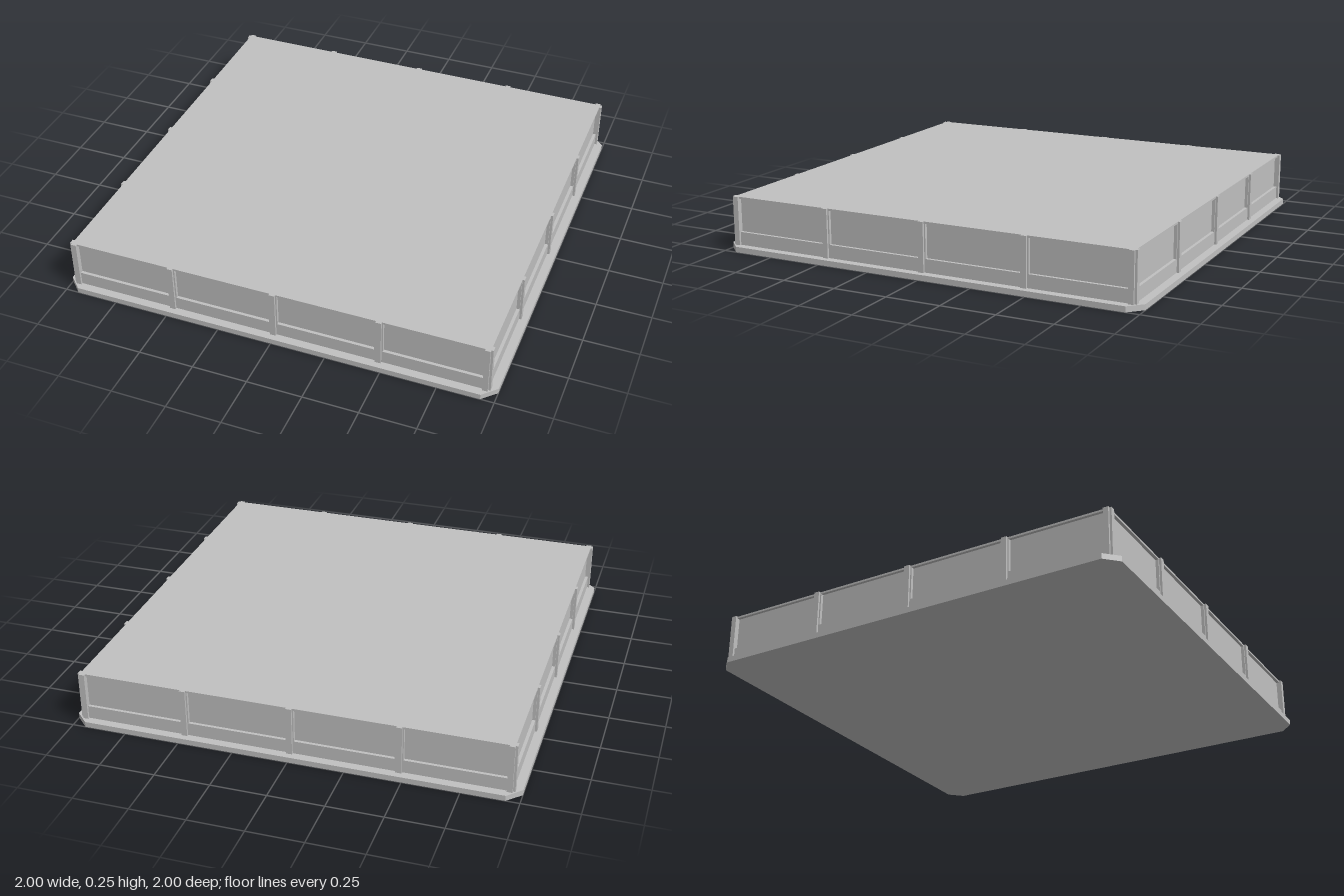
import * as THREE from 'three';

const HEIGHT = 0.247, BASE = 0.025, LEDGE = 0.085, RIM = 0.238;
const WALL = 0.962, RECESS = 0.948, POST = 0.972;

export function createModel() {
  const model = new THREE.Group();
  model.name = 'panelledPlatform';
  const grey = new THREE.MeshStandardMaterial({ color: 0xc0c0c0 });
  grey.name = 'concreteGrey';

  // Adds a box given by its lower and upper corners
  function box(parent, name, x0, x1, y0, y1, z0, z1) {
    const mesh = new THREE.Mesh(new THREE.BoxGeometry(x1 - x0, y1 - y0, z1 - z0), grey);
    mesh.position.set((x0 + x1) / 2, (y0 + y1) / 2, (z0 + z1) / 2);
    mesh.name = name;
    parent.add(mesh);
  }

  // Base slab with clipped corners
  const c = 0.94;
  const outline = new THREE.Shape([
    [-c, -1], [c, -1], [1, -c], [1, c], [c, 1], [-c, 1], [-1, c], [-1, -c],
  ].map(([x, y]) => new THREE.Vector2(x, y)));
  const slabGeometry = new THREE.ExtrudeGeometry(outline, { depth: BASE, bevelEnabled: false });
  slabGeometry.rotateX(-Math.PI / 2);
  const slab = new THREE.Mesh(slabGeometry, grey);
  slab.name = 'baseSlab';
  model.add(slab);

  // Stacked body: plinth, recessed core and roof plate
  box(model, 'plinth', -WALL, WALL, BASE, LEDGE, -WALL, WALL);
  box(model, 'recessedWalls', -RECESS, RECESS, LEDGE, RIM, -RECESS, RECESS);
  box(model, 'roofPlate', -WALL, WALL, RIM, HEIGHT, -WALL, WALL);

  // Four identical sides with posts and narrow panel frames
  for (let i = 0; i < 4; i++) {
    const side = new THREE.Group();
    side.name = 'side' + (i + 1);
    side.rotation.y = i * Math.PI / 2;
    for (const x of [-0.48, 0, 0.48]) {
      box(side, 'panelFrame', x - 0.019, x + 0.019, LEDGE, RIM, RECESS - 0.01, WALL);
      box(side, 'post', x - 0.013, x + 0.013, BASE, HEIGHT, RECESS - 0.01, POST);
    }
    // Corner posts meet their neighbours with a small notch
    for (const s of [-1, 1]) {
      const a = s * 0.938, b = s * WALL;
      box(side, 'cornerPost', Math.min(a, b), Math.max(a, b), BASE, HEIGHT, 0.938, POST);
    }
    model.add(side);
  }
  return model;
}
